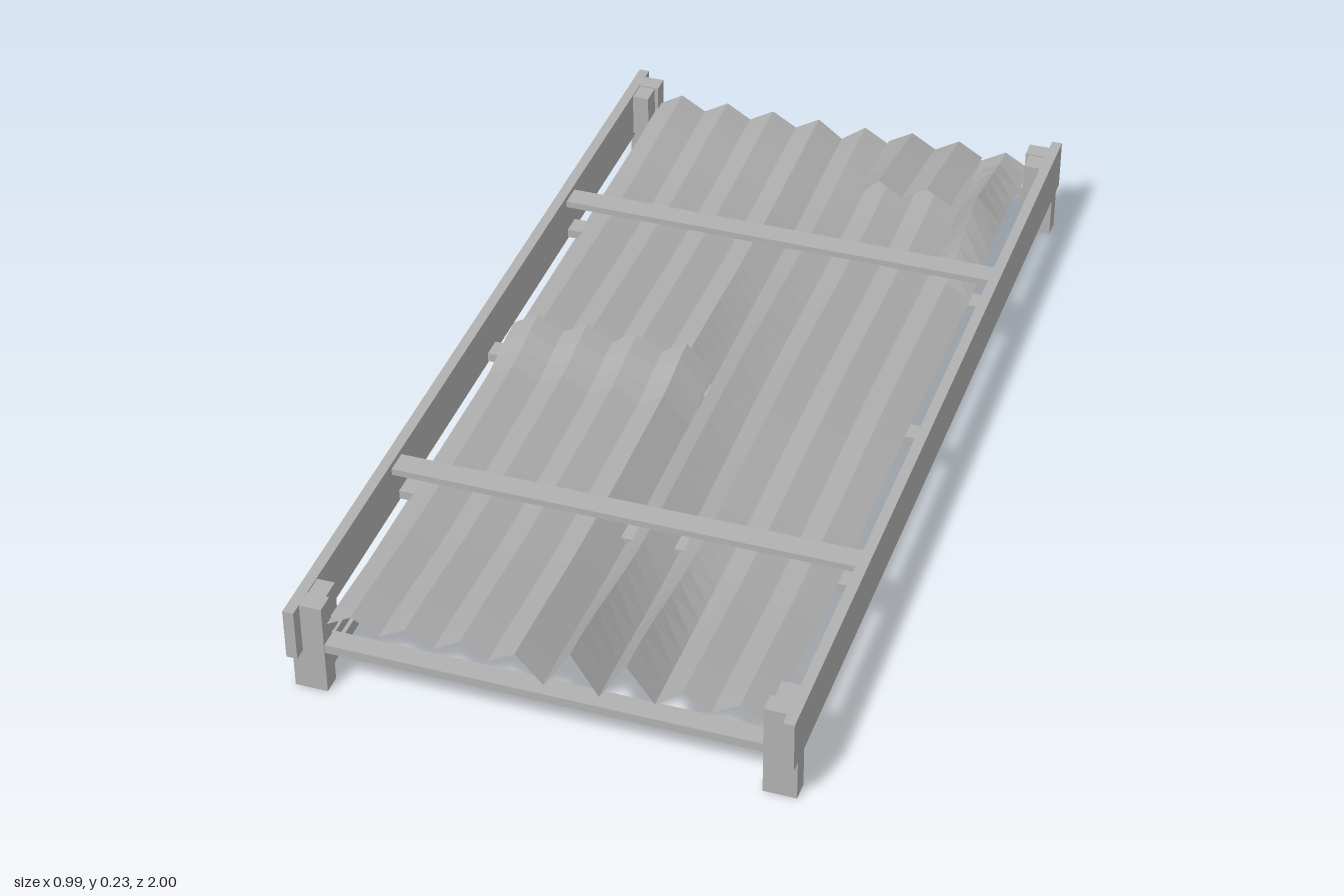
import * as THREE from 'three';

const STEP = 0.054; // half the width of one corrugation
const grey = new THREE.MeshStandardMaterial({ color: 0xb0b0b0 });
const sheetGrey = new THREE.MeshStandardMaterial({ color: 0xb0b0b0, side: THREE.DoubleSide });

// Box given by its limits on each axis
function box(name, [x0, x1], [y0, y1], [z0, z1]) {
  const mesh = new THREE.Mesh(new THREE.BoxGeometry(x1 - x0, y1 - y0, z1 - z0), grey);
  mesh.position.set((x0 + x1) / 2, (y0 + y1) / 2, (z0 + z1) / 2);
  mesh.name = name;
  return mesh;
}

// Long side rail, slightly bowed upwards and inwards
function rail(name, side, y, height, bowY, bowX) {
  const geo = new THREE.BoxGeometry(0.022, height, 1.88, 1, 1, 8);
  const p = geo.attributes.position;
  for (let i = 0; i < p.count; i++) {
    const t = 1 - (p.getZ(i) / 0.94) ** 2;
    p.setY(i, p.getY(i) + bowY * t);
    p.setX(i, p.getX(i) - side * bowX * t);
  }
  geo.computeVertexNormals();
  const mesh = new THREE.Mesh(geo, grey);
  mesh.position.set(side * 0.453, y, 0);
  mesh.name = name;
  return mesh;
}

// Corrugated sheet over fold lines i0..i1 and a range of z
function sheet(name, i0, i1, z0, z1, height) {
  const rows = Math.max(6, Math.round((z1 - z0) / 0.05));
  const point = (i, r) => {
    const z = z0 + (z1 - z0) * r / rows;
    return [i * STEP, height(i, z), z];
  };
  const pos = [];
  for (let i = i0; i < i1; i++) {
    for (let r = 0; r < rows; r++) {
      const a = point(i, r), b = point(i, r + 1), c = point(i + 1, r + 1), d = point(i + 1, r);
      pos.push(...a, ...b, ...c, ...a, ...c, ...d);
    }
  }
  const geo = new THREE.BufferGeometry();
  geo.setAttribute('position', new THREE.Float32BufferAttribute(pos, 3));
  geo.computeVertexNormals();
  const mesh = new THREE.Mesh(geo, sheetGrey);
  mesh.name = name;
  return mesh;
}

const ramp = (a, b, t) => THREE.MathUtils.smoothstep(t, a, b);
const isPeak = (i) => Math.abs(i) % 2 === 1;

// Plain corrugation with a slight sag between the beams and lifted ends
function wave(i, z) {
  const sag = 0.005 * Math.cos(z * Math.PI * 2) - 0.004;
  return 0.152 + (isPeak(i) ? 0.016 : -0.016) + sag + 0.008 * ramp(0.6, 0.95, Math.abs(z));
}

// Deep gutter along the middle fold, where the sheets meet
function leftHeight(i, z) {
  const gutter = i === 0 ? 0.028 * (0.3 + 0.7 * ramp(-0.5, 0.1, z)) : 0;
  return wave(i, z) - gutter;
}

// Torn back edge curls upward
function leftFrontHeight(i, z) {
  const curl = 0.026 * (1 - ramp(-0.03, 0.12, z));
  return leftHeight(i, z) + 0.003 + curl;
}

// Buckled at the front near the middle, and a dent pushed up near the back
function rightHeight(i, z) {
  const front = ramp(0.5, 0.95, z);
  let y = i === 0 ? leftHeight(i, z) : wave(i, z);
  if (i === 1 || i === 3) y += 0.032 * front;
  if (i === 2) y -= 0.024 * ramp(-0.6, 0.6, z);
  if (i === 4) y -= 0.012 * front;
  if (i >= 7) y += (i === 7 ? 0.06 : 0.03) * Math.max(0, 1 - Math.abs(z + 0.69) / 0.24);
  return y;
}

// Torn flap, lifted at its front edge
function flapHeight(i, z) {
  const lift = i === 2 ? 0.035 : 0.062;
  return wave(i, z) + 0.004 + lift * THREE.MathUtils.clamp((z + 0.965) / 0.28, 0, 1);
}

export function createModel() {
  const model = new THREE.Group();

  // Side boards, rails and corner posts, mirrored
  for (const side of [1, -1]) {
    const mx = (a, b) => (side > 0 ? [a, b] : [-b, -a]);
    const label = side > 0 ? 'left' : 'right';
    model.add(box(label + 'SideBoard', mx(0.472, 0.494), [0.09, 0.2], [-1, 1]));
    model.add(rail(label + 'LowerRail', side, 0.026, 0.028, 0.004, 0.002));
    model.add(rail(label + 'UpperRail', side, 0.067, 0.022, 0.006, 0.004));
    for (const end of [1, -1]) {
      const mz = (a, b) => (end > 0 ? [a, b] : [-b, -a]);
      const place = label + (end > 0 ? 'Front' : 'Back');
      model.add(box(place + 'Post', mx(0.428, 0.4935), [0, 0.1995], mz(0.935, 0.974)));
      model.add(box(place + 'Cleat', mx(0.436, 0.474), [0.1, 0.197], mz(0.89, 0.936)));
    }
  }

  // Beams below the sheets
  for (const z of [-0.95, -0.48, 0, 0.48, 0.95]) {
    model.add(box('lowerBeam', [-0.472, 0.472], [0.094, 0.113], [z - 0.022, z + 0.022]));
  }
  // Battens above the sheets
  for (const z of [-0.48, 0.505]) {
    model.add(box('topBatten', [-0.473, 0.473], [0.174, 0.188], [z - 0.025, z + 0.025]));
  }

  // Corrugated sheets
  model.add(sheet('leftBackSheet', -8, 0, -0.96, 0.06, leftHeight));
  model.add(sheet('leftFrontSheet', -8, 0, -0.03, 0.955, leftFrontHeight));
  model.add(sheet('rightSheet', 0, 8, -0.96, 0.955, rightHeight));
  model.add(sheet('tornFlap', 2, 6, -0.965, -0.685, flapHeight));
  return model;
}
